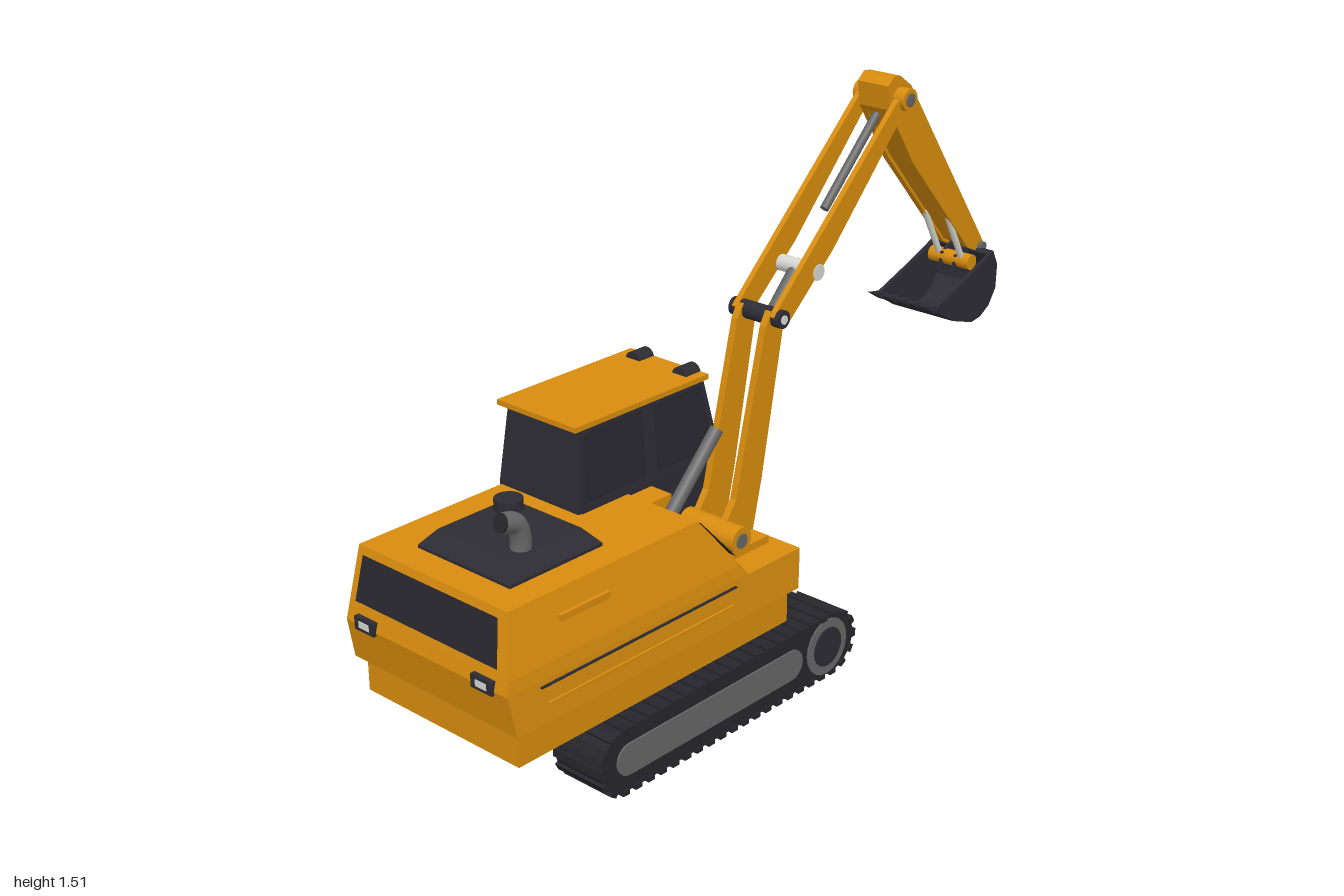
import * as THREE from 'three';
import { ConvexGeometry } from 'three/addons/geometries/ConvexGeometry.js';

const paint = (name, color, side = THREE.FrontSide) => {
  const m = new THREE.MeshStandardMaterial({ color, side });
  m.name = name;
  return m;
};

export function createModel() {
  const orange = paint('orange paint', 0xd88c0e);
  const dark = paint('dark metal', 0x2d2c34);
  const glass = paint('tinted glass', 0x27262e, THREE.DoubleSide);
  const black = paint('black rubber', 0x25252b, THREE.DoubleSide);
  const gray = paint('gray metal', 0x666666);
  const light = paint('pale metal', 0xd6d6d2);
  const model = new THREE.Group();
  const V = (x, y, z) => new THREE.Vector3(x, y, z);

  const add = (name, geo, mat, parent = model) => {
    const m = new THREE.Mesh(geo, mat);
    m.name = name;
    parent.add(m);
    return m;
  };
  const box = (name, mat, x0, x1, y0, y1, z0, z1, parent) => {
    const m = add(name, new THREE.BoxGeometry(x1 - x0, y1 - y0, z1 - z0), mat, parent);
    m.position.set((x0 + x1) / 2, (y0 + y1) / 2, (z0 + z1) / 2);
    return m;
  };
  // convex solid through rings of [y, x0, x1, z0, z1]
  const hull = (name, mat, rings) => add(name, new ConvexGeometry(rings.flatMap(([y, x0, x1, z0, z1]) =>
    [V(x0, y, z0), V(x1, y, z0), V(x0, y, z1), V(x1, y, z1)])), mat);
  // side profile extruded along z
  const slab = (name, mat, pts, z0, z1, parent) => {
    const shape = Array.isArray(pts) ? new THREE.Shape(pts.map(p => new THREE.Vector2(...p))) : pts;
    const g = new THREE.ExtrudeGeometry(shape, { depth: z1 - z0, bevelEnabled: false, curveSegments: 16 });
    return add(name, g.translate(0, 0, z0), mat, parent);
  };
  const rod = (name, mat, a, b, r, parent) => {
    const d = b.clone().sub(a);
    const m = add(name, new THREE.CylinderGeometry(r, r, d.length(), 20), mat, parent);
    m.position.copy(a).addScaledVector(d, 0.5);
    m.quaternion.setFromUnitVectors(V(0, 1, 0), d.normalize());
    return m;
  };
  const pin = (name, mat, x, y, r, z0, z1, parent) => rod(name, mat, V(x, y, z0), V(x, y, z1), r, parent);
  const quad = (name, mat, a, b, c, d) => {
    const g = new THREE.BufferGeometry().setFromPoints([a, b, c, a, c, d]);
    g.computeVertexNormals();
    return add(name, g, mat);
  };
  const stadium = (x0, x1, y, r) => new THREE.Shape()
    .absarc(x1, y, r, -Math.PI / 2, Math.PI / 2).absarc(x0, y, r, Math.PI / 2, Math.PI * 1.5);

  // crawler tracks
  const X0 = -0.655, X1 = 0.125, CY = 0.094, R = 0.085;
  for (const s of [1, -1]) {
    const track = new THREE.Group();
    track.name = s > 0 ? 'frontTrack' : 'backTrack';
    model.add(track);
    const zs = (a, b) => s > 0 ? [a, b] : [-b, -a];
    slab('trackBelt', black, stadium(X0, X1, CY, R), ...zs(0.165, 0.318), track);
    slab('trackFrame', gray, stadium(-0.645, -0.045, 0.097, 0.043), ...zs(0.3, 0.323), track);
    pin('driveWheel', gray, 0.1, CY, 0.08, ...zs(0.3, 0.322), track);
    pin('driveHub', dark, 0.1, CY, 0.055, ...zs(0.3, 0.325), track);
    const L = X1 - X0, total = 2 * L + 2 * Math.PI * R, n = 48;
    for (let i = 0; i < n; i++) {
      let t = i / n * total, x, y, a;
      if (t < L) [x, y, a] = [X0 + t, CY + R, 0];
      else if (t < L + Math.PI * R) {
        a = -(t - L) / R;
        [x, y] = [X1 - Math.sin(a) * R, CY + Math.cos(a) * R];
      } else if (t < 2 * L + Math.PI * R) [x, y, a] = [X1 - (t - L - Math.PI * R), CY - R, Math.PI];
      else {
        a = Math.PI - (t - 2 * L - Math.PI * R) / R;
        [x, y] = [X0 - Math.sin(a) * R, CY + Math.cos(a) * R];
      }
      const shoe = add('trackShoe', new THREE.BoxGeometry(0.022, 0.014, 0.16), black, track);
      shoe.position.set(x, y, s * 0.243);
      shoe.rotation.z = a;
    }
  }

  // chassis and turntable
  hull('chassis', orange, [[0.07, -0.66, 0.145, -0.17, 0.17], [0.14, -0.66, 0.155, -0.17, 0.17]]);
  pin('turntable', dark, -0.25, 0, 0.19, -0.025, 0.025).rotation.set(0, 0, 0);
  model.getObjectByName('turntable').position.set(-0.25, 0.165, 0);
  for (const z of [-0.075, 0.075]) {
    box('chassisLampFrame', dark, 0.14, 0.158, 0.093, 0.118, z - 0.04, z + 0.04);
    box('chassisLamp', light, 0.15, 0.161, 0.1, 0.111, z - 0.028, z + 0.028);
  }

  // upper body
  box('bodySkirt', orange, -0.95, 0, 0.19, 0.29, -0.265, 0.265);
  hull('bodyDeck', orange, [[0.285, -0.97, 0.02, -0.286, 0.286], [0.395, -0.99, 0.03, -0.283, 0.28]]);
  hull('hoodFront', orange, [[0.395, -0.99, -0.31, 0, 0.28], [0.43, -0.981, -0.31, 0, 0.276], [0.577, -0.94, -0.31, 0, 0.236]]);
  hull('hoodBack', orange, [[0.395, -0.99, -0.47, -0.283, 0], [0.577, -0.94, -0.47, -0.28, 0]]);
  hull('hoodCheek', orange, [[0.395, -0.32, -0.17, 0.165, 0.28], [0.43, -0.32, -0.197, 0.165, 0.276], [0.577, -0.32, -0.31, 0.165, 0.236]]);
  box('hoodStep', orange, -0.32, -0.225, 0.39, 0.57, 0, 0.07);
  quad('cheekGrille', dark, V(-0.198, 0.45, 0.182), V(-0.198, 0.45, 0.262), V(-0.294, 0.565, 0.232), V(-0.294, 0.565, 0.182));
  quad('rearGrille', glass, V(-0.982, 0.45, -0.255), V(-0.982, 0.45, 0.24), V(-0.951, 0.56, 0.215), V(-0.951, 0.56, -0.255));
  for (const z of [-0.21, 0.2]) {
    box('rearLampFrame', dark, -0.997, -0.97, 0.385, 0.42, z - 0.035, z + 0.035);
    box('rearLamp', light, -0.999, -0.98, 0.394, 0.411, z - 0.018, z + 0.018);
  }
  // raised ribs around the body
  for (const s of [1, -1]) {
    const z = s * 0.283;
    box('sideRib', orange, -0.87, -0.23, 0.328, 0.336, z - 0.006, z + 0.006);
    box('sideSlot', dark, -0.89, -0.22, 0.378, 0.382, z - 0.004, z + 0.004);
    box('hoodHandle', orange, -0.8, -0.64, 0.505, 0.523, s > 0 ? 0.24 : -0.286, s > 0 ? 0.261 : -0.27);
  }
  for (const y of [0.312, 0.358]) box('frontRib', orange, 0.01, 0.033, y - 0.013, y + 0.013, -0.27, 0.27);

  // engine cover, intake and exhaust
  hull('engineCover', dark, [[0.57, -0.86, -0.56, -0.16, 0.158], [0.585, -0.86, -0.56, -0.16, 0.158], [0.626, -0.825, -0.595, -0.125, 0.123]]);
  rod('intakeStem', dark, V(-0.68, 0.62, -0.035), V(-0.68, 0.66, -0.035), 0.027);
  rod('intakeCap', dark, V(-0.68, 0.655, -0.035), V(-0.68, 0.685, -0.035), 0.036);
  const bend = new THREE.CatmullRomCurve3([V(-0.765, 0.6, 0.095), V(-0.765, 0.66, 0.095), V(-0.78, 0.695, 0.095), V(-0.825, 0.71, 0.095)]);
  add('exhaustPipe', new THREE.TubeGeometry(bend, 16, 0.026, 14), gray);
  rod('exhaustMouth', black, V(-0.815, 0.707, 0.095), V(-0.826, 0.71, 0.095), 0.022);

  // cab
  hull('cabBody', dark, [[0.39, -0.48, 0.038, -0.286, -0.004], [0.585, -0.48, 0.038, -0.286, -0.004], [0.795, -0.46, -0.01, -0.266, -0.018]]);
  box('cabRoof', orange, -0.48, 0, 0.793, 0.807, -0.285, -0.008);
  quad('windshield', glass, V(0.036, 0.605, -0.265), V(0.036, 0.605, -0.025), V(-0.001, 0.78, -0.25), V(-0.001, 0.78, -0.035));
  model.remove(model.getObjectByName('windshield'));
  quad('windshield', glass, V(0.037, 0.605, -0.265), V(0.037, 0.605, -0.025), V(-0.002, 0.78, -0.035), V(-0.002, 0.78, -0.25));
  for (const [a, b, c, d] of [[-0.46, -0.24, -0.24, -0.445], [-0.2, 0.015, -0.025, -0.2]]) {
    quad('sideWindow', glass, V(a, 0.6, -0.288), V(b, 0.6, -0.288), V(c, 0.78, -0.271), V(d, 0.78, -0.271));
    quad('innerWindow', glass, V(a, 0.6, -0.002), V(b, 0.6, -0.002), V(c, 0.78, -0.014), V(d, 0.78, -0.014));
  }
  for (const z of [-0.06, -0.225]) {
    rod('workLamp', dark, V(-0.055, 0.802, z), V(0, 0.802, z), 0.025);
    rod('workLampLens', light, V(-0.01, 0.802, z), V(0.003, 0.802, z), 0.019);
  }

  // boom foot and lift cylinder
  box('boomFoot', orange, -0.17, 0, 0.39, 0.415, 0.01, 0.2);
  pin('boomFootPivot', orange, -0.105, 0.437, 0.037, 0.015, 0.2);
  pin('boomFootPin', gray, -0.105, 0.437, 0.02, 0.012, 0.203);
  rod('liftCylinder', gray, V(-0.29, 0.515, 0.105), V(-0.095, 0.715, 0.105), 0.018);
  box('liftBracket', light, -0.335, -0.29, 0.47, 0.53, 0.085, 0.125);

  // boom made of paired plates
  const lower = [[-0.13, 0.41], [0, 0.405], [0.035, 0.55], [0.115, 0.955], [0.105, 0.99], [0.065, 0.995], [0.045, 0.96], [-0.065, 0.52], [-0.1, 0.47]];
  const upper = [[0.06, 0.985], [0.075, 0.955], [0.12, 0.955], [0.29, 1.105], [0.57, 1.405], [0.605, 1.44], [0.58, 1.468], [0.54, 1.44]];
  for (const s of [1, -1]) {
    const z = 0.088 + s * 0.047, w = 0.088 + s * 0.062;
    slab('lowerBoomPlate', orange, lower, z - 0.01, z + 0.01);
    slab('upperBoomPlate', orange, upper, w - 0.008, w + 0.008);
  }
  pin('elbowPin', dark, 0.085, 0.975, 0.024, 0.005, 0.171);
  pin('elbowPinCap', light, 0.085, 0.975, 0.012, 0.002, 0.174);
  pin('crossTube', light, 0.235, 1.06, 0.022, 0.015, 0.16);
  rod('armCylinder', gray, V(0.15, 0.965, 0.088), V(0.24, 1.06, 0.088), 0.022);
  rod('armRod', gray, V(0.34, 1.19, 0.088), V(0.55, 1.4, 0.088), 0.012);
  pin('armPivot', orange, 0.582, 1.445, 0.03, 0.005, 0.172);
  pin('armPin', gray, 0.582, 1.445, 0.018, 0.002, 0.175);

  // arm with a shallow channel along its outer edge
  const arm = [[0.54, 1.42], [0.53, 1.485], [0.555, 1.507], [0.58, 1.505], [0.63, 1.47], [0.68, 1.40], [0.995, 0.955], [0.975, 0.93], [0.92, 0.955], [0.65, 1.255]];
  const core = [[0.54, 1.42], [0.53, 1.485], [0.555, 1.507], [0.58, 1.505], [0.63, 1.47], [0.65, 1.405], [0.965, 0.965], [0.95, 0.95], [0.92, 0.965], [0.655, 1.265]];
  slab('armPlate', orange, arm, 0.038, 0.056);
  slab('armPlate', orange, arm, 0.12, 0.138);
  slab('armCore', orange, core, 0.05, 0.126);
  rod('bucketCylinder', gray, V(0.648, 1.42, 0.088), V(0.697, 1.35, 0.088), 0.027);

  // bucket linkage
  for (const z of [0.05, 0.126]) rod('bucketLink', light, V(0.83, 1.07, z), V(0.915, 0.915, z), 0.009);
  pin('linkPivot', orange, 0.918, 0.915, 0.022, 0.02, 0.156);
  pin('bucketPin', gray, 0.98, 0.945, 0.014, 0.025, 0.151);

  // bucket shell, cheeks and teeth
  const outer = [[0.7, 0.838], [0.79, 0.784], [0.88, 0.756], [0.92, 0.762], [0.96, 0.785], [0.99, 0.83], [0.993, 0.9], [0.97, 0.945]];
  const inner = [[0.955, 0.935], [0.977, 0.895], [0.974, 0.835], [0.95, 0.797], [0.915, 0.777], [0.88, 0.771], [0.795, 0.798], [0.705, 0.848]];
  slab('bucketShell', dark, [...outer, ...inner], -0.013, 0.189);
  for (const z of [-0.015, 0.179]) slab('bucketCheek', dark, [...outer, [0.93, 0.925], [0.82, 0.882]], z, z + 0.012);
  for (const z of [0.06, 0.106]) slab('bucketEar', dark, [[0.89, 0.88], [0.985, 0.87], [0.995, 0.95], [0.97, 0.965], [0.9, 0.93]], z, z + 0.01);
  for (let i = 0; i < 5; i++) {
    const z = 0.002 + i * 0.043;
    slab('bucketTooth', dark, [[0.66, 0.857], [0.71, 0.826], [0.73, 0.835], [0.72, 0.845]], z - 0.011, z + 0.011);
  }
  return model;
}
